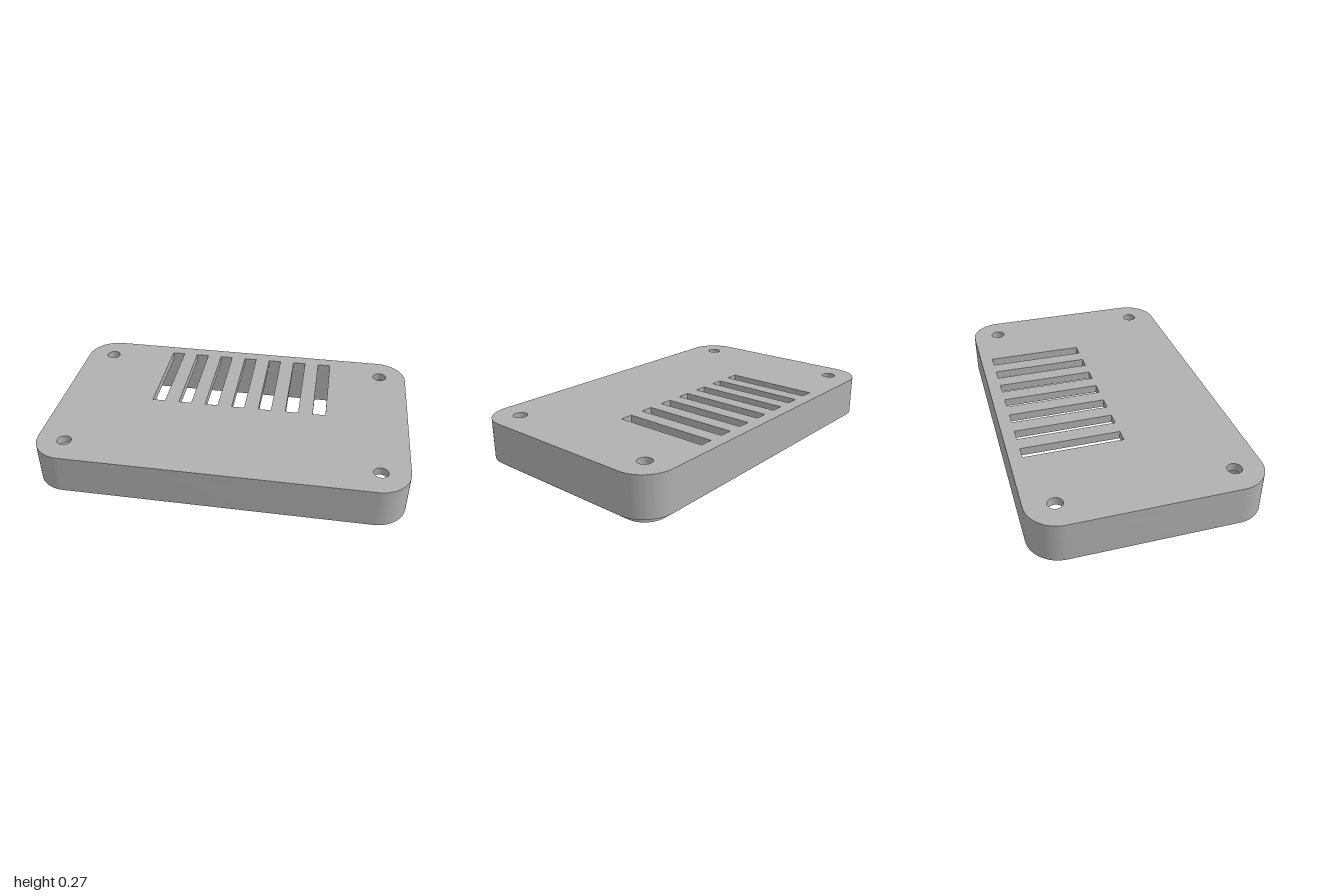
import * as THREE from 'three';
import { toCreasedNormals } from 'three/addons/utils/BufferGeometryUtils.js';

const HALF_X = 1, HALF_Z = 0.61, CORNER = 0.17;

// Rounded rectangle, inset evenly from the outer edge of the cover
function outline(inset, Type = THREE.Shape) {
  const x = HALF_X - inset, y = HALF_Z - inset, r = CORNER - inset;
  const s = new Type();
  s.moveTo(-x + r, -y);
  s.lineTo(x - r, -y);
  s.absarc(x - r, -y + r, r, -Math.PI / 2, 0, false);
  s.lineTo(x, y - r);
  s.absarc(x - r, y - r, r, 0, Math.PI / 2, false);
  s.lineTo(-x + r, y);
  s.absarc(-x + r, y - r, r, Math.PI / 2, Math.PI, false);
  s.lineTo(-x, -y + r);
  s.absarc(-x + r, -y + r, r, Math.PI, Math.PI * 1.5, false);
  return s;
}

// Extrude a plan shape upward between two heights
function slab(name, shape, bottom, top, material) {
  const raw = new THREE.ExtrudeGeometry(shape, {
    depth: top - bottom, bevelEnabled: false, curveSegments: 16,
  });
  raw.rotateX(-Math.PI / 2);
  raw.translate(0, bottom, 0);
  const mesh = new THREE.Mesh(toCreasedNormals(raw, 0.6), material);
  mesh.name = name;
  return mesh;
}

export function createModel() {
  const group = new THREE.Group();
  group.name = 'enclosureCover';
  const grey = new THREE.MeshStandardMaterial({ color: 0xb0b0b0 });
  grey.name = 'grey plastic';

  // Top plate with screw holes and vent slots
  const plate = outline(0);
  for (const sx of [-1, 1]) {
    for (const sy of [-1, 1]) {
      const hole = new THREE.Path();
      hole.absarc(sx * 0.846, sy * 0.456, 0.039, 0, Math.PI * 2, true);
      plate.holes.push(hole);
    }
  }
  for (let i = 0; i < 7; i++) {
    const x = 0.035 + (i - 3) * 0.156, w = 0.0365;
    plate.holes.push(new THREE.Path([
      new THREE.Vector2(x - w, 0), new THREE.Vector2(x - w, 0.54),
      new THREE.Vector2(x + w, 0.54), new THREE.Vector2(x + w, 0),
      new THREE.Vector2(x - w, 0),
    ]));
  }
  group.add(slab('topPlate', plate, 0.22, 0.265, grey));

  // Side wall around the open cavity
  const wall = outline(0);
  wall.holes.push(outline(0.07, THREE.Path));
  group.add(slab('sideWall', wall, 0.043, 0.22, grey));

  // Narrow locating lip under the wall
  const lip = outline(0.053);
  lip.holes.push(outline(0.07, THREE.Path));
  group.add(slab('locatingLip', lip, 0, 0.043, grey));

  return group;
}
